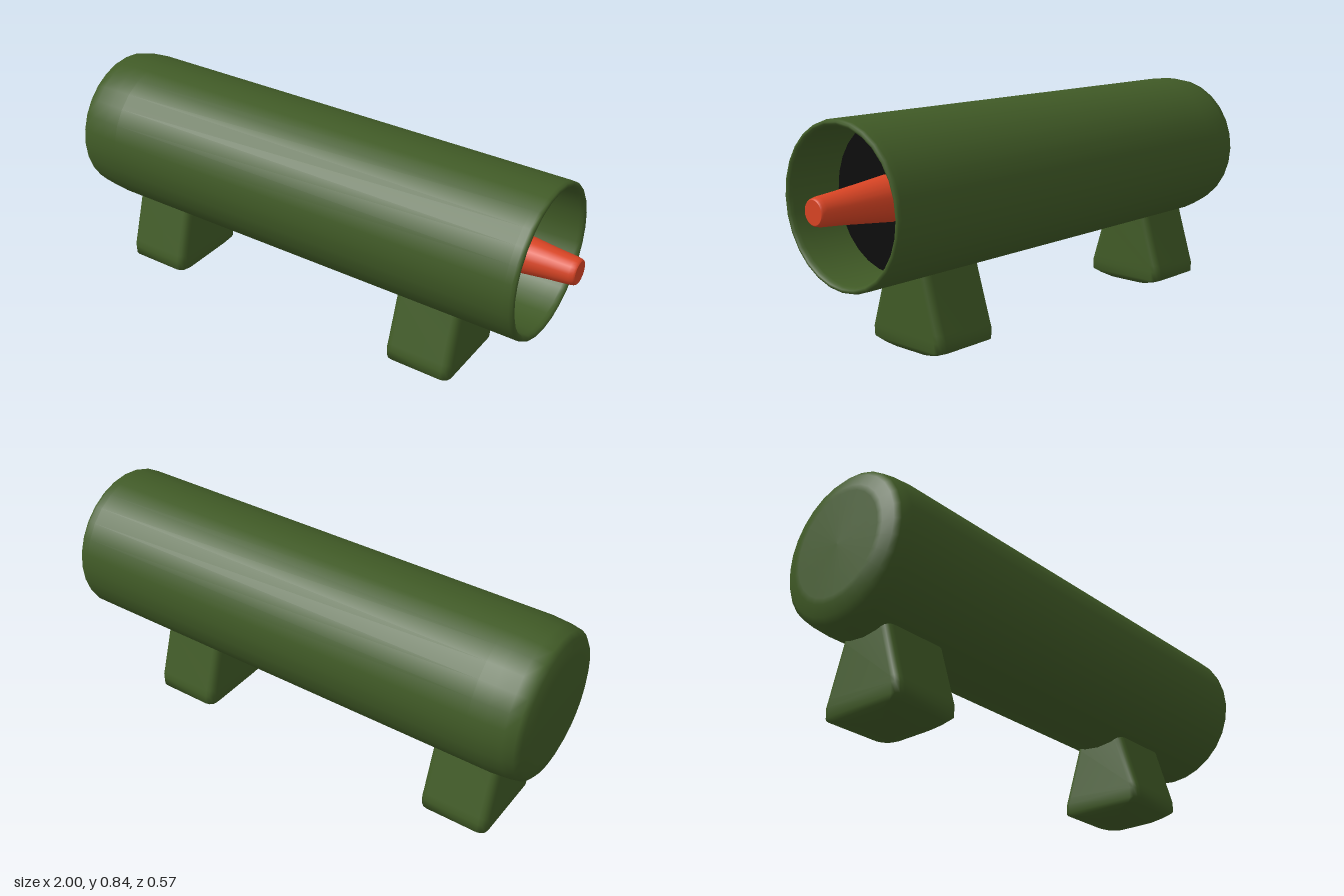
import * as THREE from 'three';

export function createModel() {
  const model = new THREE.Group();
  const green = new THREE.MeshStandardMaterial({ color: 0x405a26 });
  green.name = 'olive green';
  const black = new THREE.MeshStandardMaterial({ color: 0x0c0c0c });
  black.name = 'black';
  const red = new THREE.MeshStandardMaterial({ color: 0xd84424 });
  red.name = 'orange red';

  const AXIS_Y = 0.56;

  function add(name, geometry, material, x = 0, y = 0) {
    const mesh = new THREE.Mesh(geometry, material);
    mesh.name = name;
    mesh.position.set(x, y, 0);
    model.add(mesh);
  }

  // Turned part lying along x; profile points are [radius, x]
  function turned(profile, segments) {
    const points = profile.map(([r, x]) => new THREE.Vector2(r, x));
    return new THREE.LatheGeometry(points, segments).rotateZ(-Math.PI / 2);
  }

  // Hollow tube: closed rounded back, open front with a rounded rim
  add('tube', turned([
    [0, -1], [0.19, -1], [0.21, -0.998], [0.25, -0.986], [0.269, -0.97],
    [0.277, -0.93], [0.283, -0.86], [0.283, -0.8], [0.283, 0.86], [0.283, 0.885],
    [0.28, 0.896], [0.274, 0.9], [0.268, 0.899], [0.262, 0.892], [0.26, 0.88],
    [0.258, 0.84], [0.257, 0.68],
  ], 28), green, 0, AXIS_Y);

  // Dark floor of the recess
  add('recessFloor', new THREE.CircleGeometry(0.258, 28).rotateY(Math.PI / 2), black, 0.69, AXIS_Y);

  // Tapered nozzle standing on the recess floor
  add('nozzle', turned([
    [0.08, 0.685], [0.056, 0.9], [0.049, 0.98], [0.046, 0.994],
    [0.042, 1], [0.04, 1], [0, 1],
  ], 24), red, 0, AXIS_Y);

  // Foot: rounded rectangles [half x, half z, y] joined from top to bottom
  function footGeometry() {
    const rings = [
      [0.132, 0.09, 0.36], [0.132, 0.112, 0.28], [0.133, 0.167, 0.1], [0.134, 0.174, 0.075],
      [0.132, 0.174, 0.038], [0.122, 0.14, 0.024], [0.108, 0.1, 0.012], [0.06, 0.05, 0.006],
    ];
    const perCorner = 4;
    const n = perCorner * 4;
    const positions = [];
    const indices = [];
    for (const [hx, hz, y] of rings) {
      const radius = Math.min(0.03, hz * 0.5);
      for (let i = 0; i < n; i++) {
        const corner = Math.floor(i / perCorner);
        const angle = (corner + (i % perCorner) / (perCorner - 1)) * Math.PI / 2;
        const sx = corner === 0 || corner === 3 ? 1 : -1;
        const sz = corner < 2 ? 1 : -1;
        positions.push(sx * (hx - radius) + radius * Math.cos(angle), y,
          sz * (hz - radius) + radius * Math.sin(angle));
      }
    }
    positions.push(0, 0.002, 0);
    const bottom = rings.length * n;
    for (let i = 0; i < n; i++) {
      const j = (i + 1) % n;
      for (let k = 0; k < rings.length - 1; k++) {
        const a = k * n + i, b = k * n + j;
        indices.push(a, b, a + n, b, b + n, a + n);
      }
      indices.push(bottom - n + i, bottom - n + j, bottom);
    }
    const geometry = new THREE.BufferGeometry();
    geometry.setAttribute('position', new THREE.Float32BufferAttribute(positions, 3));
    geometry.setIndex(indices);
    geometry.computeVertexNormals();
    return geometry;
  }

  const foot = footGeometry();
  add('rearFoot', foot, green, -0.73);
  add('frontFoot', foot, green, 0.5);

  return model;
}
